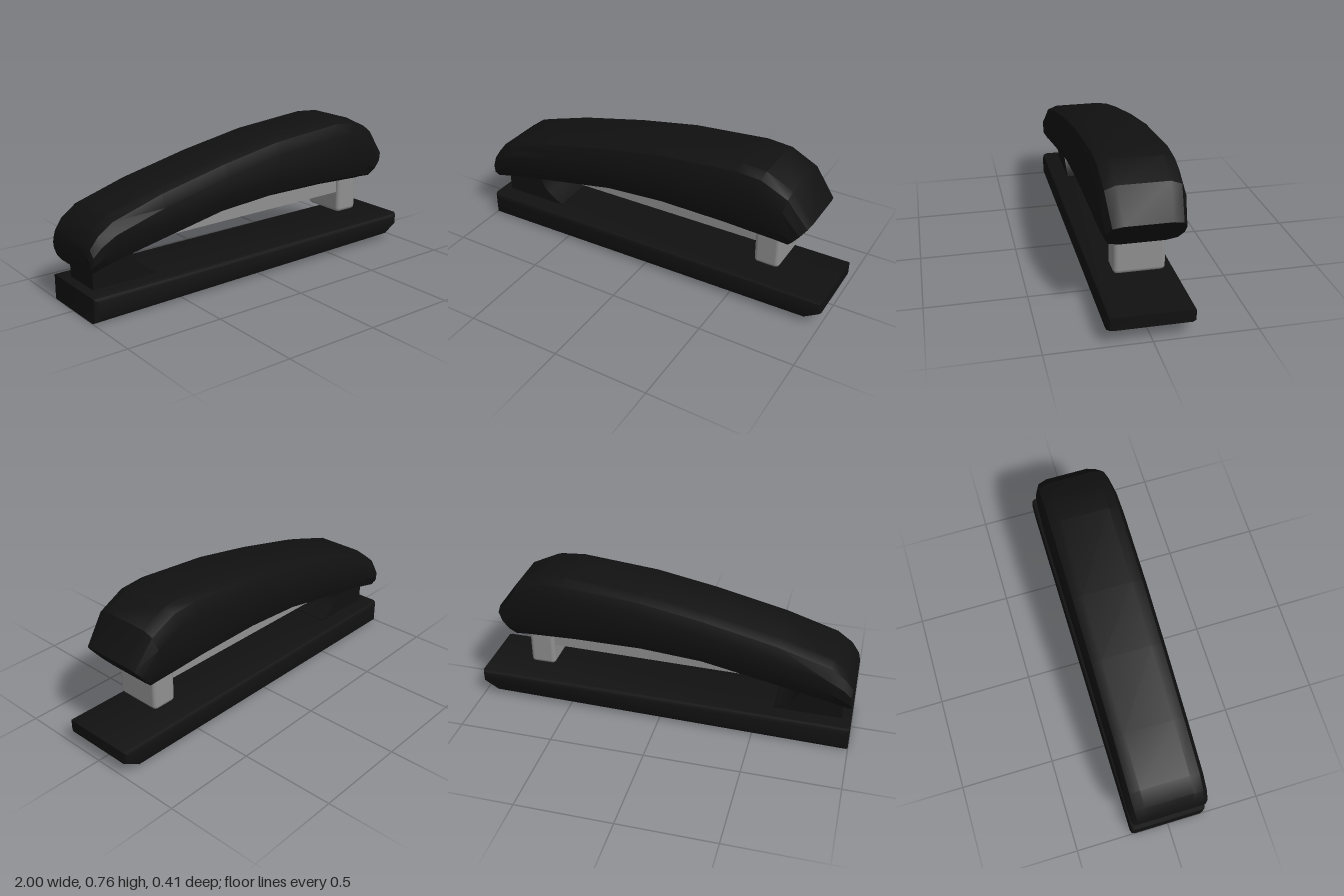
import * as THREE from 'three';
import { toCreasedNormals } from 'three/addons/utils/BufferGeometryUtils.js';
import { RoundedBoxGeometry } from 'three/addons/geometries/RoundedBoxGeometry.js';

const black = new THREE.MeshStandardMaterial({ color: 0x111111 });
const metal = new THREE.MeshStandardMaterial({ color: 0x909090 });

function addPart(group, name, geometry, material) {
  const mesh = new THREE.Mesh(geometry, material);
  mesh.name = name;
  group.add(mesh);
  return mesh;
}

// Side profile extruded symmetrically across z, with inset rounded edges
function slab(shape, halfWidth, bevel) {
  const geo = new THREE.ExtrudeGeometry(shape, {
    depth: 2 * (halfWidth - bevel), curveSegments: 8, bevelEnabled: bevel > 0,
    bevelSize: bevel, bevelThickness: bevel, bevelOffset: -bevel, bevelSegments: 2,
  });
  geo.translate(0, 0, -(halfWidth - bevel));
  return toCreasedNormals(geo, 0.5);
}

const polygon = (points) => new THREE.Shape(points.map(([x, y]) => new THREE.Vector2(x, y)));

// Stations of the upper arm: top x, top y, bottom x, bottom y, half width
const stations = [
  [-1.0, 0.33, -0.99, 0.225, 0.185],
  [-0.99, 0.37, -0.975, 0.227, 0.197],
  [-0.95, 0.43, -0.93, 0.236, 0.203],
  [-0.87, 0.49, -0.85, 0.252, 0.205],
  [-0.6, 0.575, -0.6, 0.3, 0.205],
  [-0.23, 0.66, -0.22, 0.375, 0.206],
  [0.1, 0.72, 0.1, 0.4, 0.207],
  [0.51, 0.757, 0.45, 0.4, 0.207],
  [0.64, 0.747, 0.6, 0.394, 0.206],
  [0.78, 0.68, 0.72, 0.388, 0.202],
  [0.89, 0.53, 0.775, 0.385, 0.185],
];

// Half cross-section, bottom to top: width fraction, distance from bottom or top edge
const halfSection = [
  [0.6, 0.0, false], [0.88, 0.03, false], [1, 0.1, false],
  [1, 0.085, true], [0.88, 0.022, true], [0.62, 0.0, true],
];

function armGeometry() {
  const pos = [], index = [], n = halfSection.length * 2;
  for (const [tx, ty, bx, by, w] of stations) {
    const h = Math.hypot(tx - bx, ty - by);
    const k = Math.min(1, h / 0.26);
    const half = halfSection.map(([f, d, fromTop]) => {
      const t = fromTop ? 1 - (d * k) / h : (d * k) / h;
      return [bx + (tx - bx) * t, by + (ty - by) * t, f * w];
    });
    for (const p of half) pos.push(...p);
    for (const [x, y, z] of half.reverse()) pos.push(x, y, -z);
  }
  const last = (stations.length - 1) * n;
  for (let i = 0; i < stations.length - 1; i++) {
    for (let j = 0; j < n; j++) {
      const a = i * n + j, b = i * n + (j + 1) % n;
      index.push(a, a + n, b, b, a + n, b + n);
    }
  }
  // End caps
  for (let j = 1; j < n - 1; j++) {
    index.push(0, j, j + 1, last, last + j + 1, last + j);
  }
  const geo = new THREE.BufferGeometry();
  geo.setAttribute('position', new THREE.Float32BufferAttribute(pos, 3));
  geo.setIndex(index);
  return toCreasedNormals(geo, 0.4);
}

export function createModel() {
  const group = new THREE.Group();
  group.name = 'stapler';

  // Base plate with an undercut front lip
  const base = polygon([[-1, 0], [0.92, 0.03], [1, 0.08], [1, 0.145], [-1, 0.13]]);
  addPart(group, 'base', slab(base, 0.205, 0.022), black);

  // Hinge post with a concave front sweeping into the base
  const post = new THREE.Shape();
  post.moveTo(-0.95, 0.1);
  post.lineTo(-0.6, 0.1);
  post.lineTo(-0.595, 0.137);
  post.bezierCurveTo(-0.67, 0.17, -0.73, 0.22, -0.73, 0.29);
  post.lineTo(-0.95, 0.29);
  post.closePath();
  addPart(group, 'hingePost', slab(post, 0.111, 0), black);

  addPart(group, 'upperArm', armGeometry(), black);

  // Staple rail, partly sunk into the arm
  const rail = polygon([[-0.6, 0.308], [0.64, 0.322], [0.64, 0.42], [0, 0.42], [-0.2, 0.39]]);
  addPart(group, 'stapleRail', slab(rail, 0.105, 0), metal);

  // Staple head at the front of the rail
  const head = addPart(group, 'stapleHead', new RoundedBoxGeometry(0.135, 0.24, 0.25, 2, 0.022), metal);
  head.position.set(0.667, 0.325, 0);

  return group;
}
